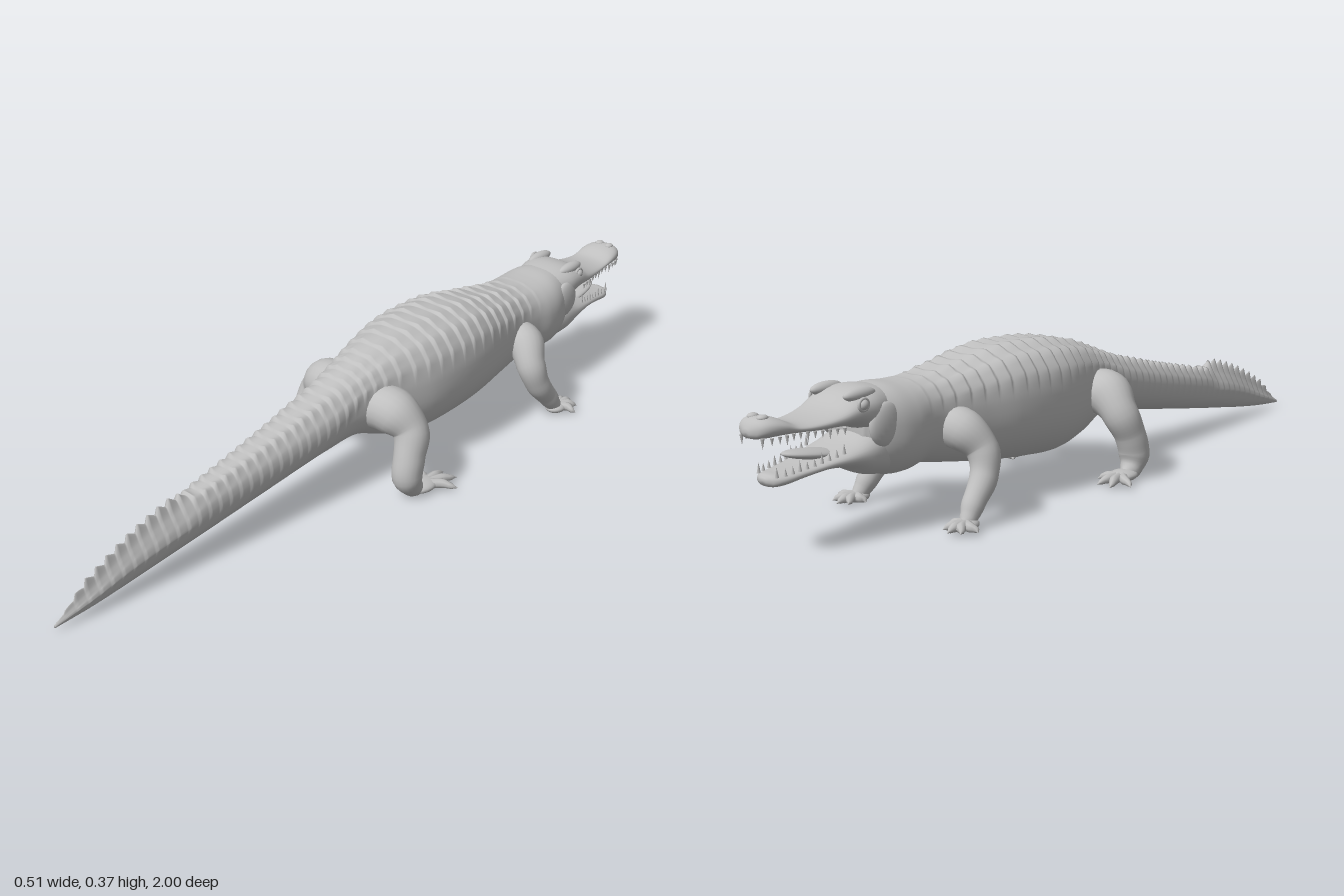
import * as THREE from 'three';
import { mergeVertices } from 'three/addons/utils/BufferGeometryUtils.js';

const hide = new THREE.MeshStandardMaterial({ color: 0xbfbfbf });
hide.name = 'grey hide';

function add(parent, name, geometry) {
  const mesh = new THREE.Mesh(geometry, hide);
  mesh.name = name;
  parent.add(mesh);
  return mesh;
}

// Smooth lookup in a table of rows [z, a, b, c] sorted by z
function sample(rows, z) {
  let i = 0;
  while (i < rows.length - 2 && z > rows[i + 1][0]) i++;
  const p = rows[i], q = rows[i + 1];
  const o = rows[Math.max(i - 1, 0)], r = rows[Math.min(i + 2, rows.length - 1)];
  const d = q[0] - p[0], t = (z - p[0]) / d, t2 = t * t, t3 = t2 * t;
  return [1, 2, 3].map(k => {
    const m0 = (q[k] - o[k]) / (q[0] - o[0]), m1 = (r[k] - p[k]) / (r[0] - p[0]);
    return (2 * t3 - 3 * t2 + 1) * p[k] + (t3 - 2 * t2 + t) * d * m0
      + (3 * t2 - 2 * t3) * q[k] + (t3 - t2) * d * m1;
  });
}

// Skin over rounded cross-sections; rows are [z, half width, top, bottom]
function loft(rows, rings, sides, shape = () => ({ n: 2.3 })) {
  const pos = [], index = [], z0 = rows[0][0], z1 = rows[rows.length - 1][0];
  for (let i = 0; i <= rings; i++) {
    const z = z0 + (z1 - z0) * i / rings;
    const [w, top, bottom] = sample(rows, z);
    for (let j = 0; j < sides; j++) {
      const a = j / sides * Math.PI * 2, c = Math.cos(a), s = Math.sin(a);
      const { n, out = 0, up = 0 } = shape(z, c, s);
      const x = Math.sign(c) * Math.abs(c) ** (2 / n), y = Math.sign(s) * Math.abs(s) ** (2 / n);
      pos.push(x * (w + out), (top + bottom) / 2 + y * ((top - bottom) / 2) + up, z);
    }
  }
  for (let i = 0; i < rings; i++) for (let j = 0; j < sides; j++) {
    const a = i * sides + j, b = i * sides + (j + 1) % sides;
    index.push(a, b, a + sides, b, b + sides, a + sides);
  }
  // end caps
  for (const [z, base, flip] of [[z0, 0, true], [z1, rings * sides, false]]) {
    const [, top, bottom] = sample(rows, z), centre = pos.length / 3;
    pos.push(0, (top + bottom) / 2, z);
    for (let j = 0; j < sides; j++) {
      const a = base + j, b = base + (j + 1) % sides;
      index.push(centre, flip ? b : a, flip ? a : b);
    }
  }
  const g = new THREE.BufferGeometry();
  g.setAttribute('position', new THREE.Float32BufferAttribute(pos, 3));
  g.setIndex(index);
  g.computeVertexNormals();
  return g;
}

// Tapered tube through points [x, y, z, radius]
function limb(points, segments, sides) {
  const curve = new THREE.CatmullRomCurve3(points.map(p => new THREE.Vector3(p[0], p[1], p[2])));
  let g = new THREE.TubeGeometry(curve, segments, 1, sides);
  const pos = g.attributes.position, v = new THREE.Vector3();
  for (let i = 0; i < pos.count; i++) {
    const u = Math.floor(i / (sides + 1)) / segments, c = curve.getPointAt(u);
    const f = curve.getUtoTmapping(u) * (points.length - 1);
    const k = Math.min(Math.floor(f), points.length - 2);
    const r = THREE.MathUtils.lerp(points[k][3], points[k + 1][3], THREE.MathUtils.smoothstep(f - k, 0, 1));
    v.fromBufferAttribute(pos, i).sub(c).multiplyScalar(r).add(c);
    pos.setXYZ(i, v.x, Math.max(v.y, 0.001), v.z);
  }
  g.deleteAttribute('uv');
  g.deleteAttribute('normal');
  g = mergeVertices(g, 1e-5);
  g.computeVertexNormals();
  return g;
}

function ball(parent, name, x, y, z, sx, sy, sz) {
  const m = add(parent, name, new THREE.SphereGeometry(1, 20, 14));
  m.position.set(x, y, z);
  m.scale.set(sx, sy, sz);
  return m;
}

const bodyRows = [
  [-0.725, 0.05, 0.315, 0.19], [-0.70, 0.078, 0.328, 0.15], [-0.65, 0.1, 0.334, 0.125],
  [-0.60, 0.105, 0.33, 0.122], [-0.55, 0.099, 0.328, 0.13], [-0.5, 0.1, 0.33, 0.122],
  [-0.4, 0.116, 0.345, 0.105], [-0.3, 0.135, 0.363, 0.09], [-0.2, 0.141, 0.365, 0.08],
  [-0.1, 0.133, 0.358, 0.075], [0, 0.105, 0.338, 0.093], [0.1, 0.079, 0.303, 0.13],
  [0.2, 0.07, 0.268, 0.123], [0.4, 0.055, 0.217, 0.092], [0.6, 0.041, 0.172, 0.06],
  [0.7, 0.034, 0.15, 0.045], [0.8, 0.025, 0.115, 0.03], [0.9, 0.016, 0.066, 0.018],
  [1, 0.003, 0.018, 0.01]];

// Overlapping scutes on the back, twin crests on the tail, one crest at its tip
function scutes(z, c, s) {
  const step = THREE.MathUtils.smoothstep, period = z > 0.05 ? 0.03 : 0.04;
  const saw = (((z + 2) / period) % 1);
  const on = step(z, -0.6, -0.45) * (1 - step(z, 0.9, 1));
  const tail = step(z, 0.05, 0.25), tip = step(z, 0.58, 0.66);
  const upper = step(s, 0.25 - 0.5 * tail, 0.6 - 0.5 * tail);
  const keel = 0.6 + 0.4 * Math.cos(Math.acos(c) * 14);
  const twin = tail * (1 - tip) * Math.exp(-(((Math.abs(c) - 0.45) / 0.16) ** 2)) * (s > 0 ? 1 : 0);
  const single = tip * Math.max(s, 0) ** 12;
  return {
    n: s > 0 ? 2.5 - 0.9 * tip : 2.3 - 0.3 * tail,
    out: on * upper * saw * 0.006 * (1 - 0.6 * tail),
    up: on * saw * (upper * keel * 0.009 * (1 - 0.75 * tail) + twin * 0.014 + single * 0.024)
      + on * single * 0.012,
  };
}

const upperJawRows = [
  [-1, 0.012, 0.29, 0.274], [-0.992, 0.032, 0.303, 0.267], [-0.97, 0.048, 0.311, 0.265],
  [-0.94, 0.055, 0.306, 0.266], [-0.9, 0.056, 0.289, 0.266], [-0.85, 0.064, 0.29, 0.262],
  [-0.8, 0.075, 0.303, 0.26], [-0.75, 0.085, 0.33, 0.254], [-0.7, 0.086, 0.338, 0.235],
  [-0.62, 0.06, 0.325, 0.22]];
const lowerJawRows = [
  [-0.962, 0.012, 0.178, 0.165], [-0.953, 0.03, 0.184, 0.157], [-0.93, 0.042, 0.186, 0.157],
  [-0.88, 0.05, 0.192, 0.165], [-0.82, 0.064, 0.203, 0.172], [-0.76, 0.078, 0.22, 0.162],
  [-0.7, 0.084, 0.245, 0.135], [-0.62, 0.07, 0.25, 0.125]];

const legs = {
  hind: {
    path: [[0.05, 0.205, 0.045, 0.058], [0.115, 0.208, 0.04, 0.06], [0.162, 0.168, 0.03, 0.046],
      [0.178, 0.11, 0.052, 0.04], [0.182, 0.06, 0.063, 0.039], [0.185, 0.026, 0.045, 0.028], [0.188, 0.014, 0, 0.005]],
    palm: [0.186, 0.016, 0.012, 0.034, 0.015, 0.045],
    toes: [[0.142, -0.03], [0.178, -0.078], [0.22, -0.082], [0.256, -0.045]],
  },
  front: {
    path: [[0.05, 0.21, -0.48, 0.048], [0.108, 0.21, -0.477, 0.05], [0.15, 0.165, -0.455, 0.039],
      [0.166, 0.11, -0.468, 0.033], [0.172, 0.055, -0.51, 0.027], [0.177, 0.023, -0.535, 0.02], [0.18, 0.014, -0.56, 0.004]],
    palm: [0.179, 0.015, -0.54, 0.027, 0.014, 0.032],
    toes: [[0.137, -0.552], [0.155, -0.592], [0.181, -0.604], [0.21, -0.592], [0.232, -0.558]],
  },
};

function makeLeg(kind, side) {
  const { path, palm, toes } = legs[kind], leg = new THREE.Group();
  leg.name = `${kind}Leg${side > 0 ? 'Left' : 'Right'}`;
  add(leg, 'leg', limb(path.map(([x, ...rest]) => [x * side, ...rest]), 36, 20));
  const [px, py, pz, ...size] = palm;
  ball(leg, 'palm', px * side, py, pz, ...size);
  for (const [x, z] of toes) {
    const mx = (px + x) / 2, mz = (pz + z) / 2 - 0.008;
    add(leg, 'toe', limb([[px * side, 0.015, pz, 0.013], [mx * side, 0.017, mz, 0.012],
      [(x * 0.8 + px * 0.2) * side, 0.014, z * 0.8 + pz * 0.2, 0.008], [x * side, 0.009, z, 0.0005]], 12, 8));
  }
  return leg;
}

// Teeth following the edge of a jaw; dir is -1 down, 1 up
function makeTeeth(head, rows, from, to, count, dir) {
  for (let i = 0; i < count; i++) {
    const z = THREE.MathUtils.lerp(from, to, i / (count - 1));
    const [w, top, bottom] = sample(rows, z), h = i % 3 ? 0.017 : 0.024;
    for (const side of [-1, 1]) {
      const tooth = add(head, 'tooth', new THREE.ConeGeometry(0.0045, h, 7));
      tooth.position.set(side * w * 0.86, (dir > 0 ? top : bottom) + dir * (h / 2 - 0.005), z);
      if (dir < 0) tooth.rotation.x = Math.PI;
    }
  }
}

function makeHead() {
  const head = new THREE.Group();
  head.name = 'head';
  add(head, 'upperJaw', loft(upperJawRows, 60, 36));
  add(head, 'lowerJaw', loft(lowerJawRows, 50, 36));
  ball(head, 'tongue', 0, 0.203, -0.82, 0.035, 0.012, 0.09).rotation.x = 0.16;
  makeTeeth(head, upperJawRows, -0.985, -0.79, 12, -1);
  makeTeeth(head, lowerJawRows, -0.948, -0.79, 10, 1);
  for (const side of [-1, 1]) {
    ball(head, 'browRidge', side * 0.053, 0.326, -0.735, 0.016, 0.015, 0.045);
    ball(head, 'cheek', side * 0.078, 0.255, -0.685, 0.018, 0.05, 0.045);
    ball(head, 'nostril', side * 0.016, 0.309, -0.968, 0.011, 0.007, 0.013);
    // the right eye stands out further than the left
    const x = side > 0 ? 0.072 : -0.085;
    ball(head, 'eye', x, 0.31, -0.752, 0.011, 0.012, 0.012);
    const lid = add(head, 'eyelid', new THREE.TorusGeometry(0.013, 0.004, 8, 20));
    lid.position.set(x, 0.31, -0.752);
    lid.rotation.y = Math.PI / 2;
  }
  return head;
}

export function createModel() {
  const model = new THREE.Group();
  model.name = 'crocodile';
  add(model, 'bodyAndTail', loft(bodyRows, 400, 56, scutes));
  model.add(makeHead());
  for (const kind of ['hind', 'front']) for (const side of [-1, 1]) model.add(makeLeg(kind, side));
  return model;
}
